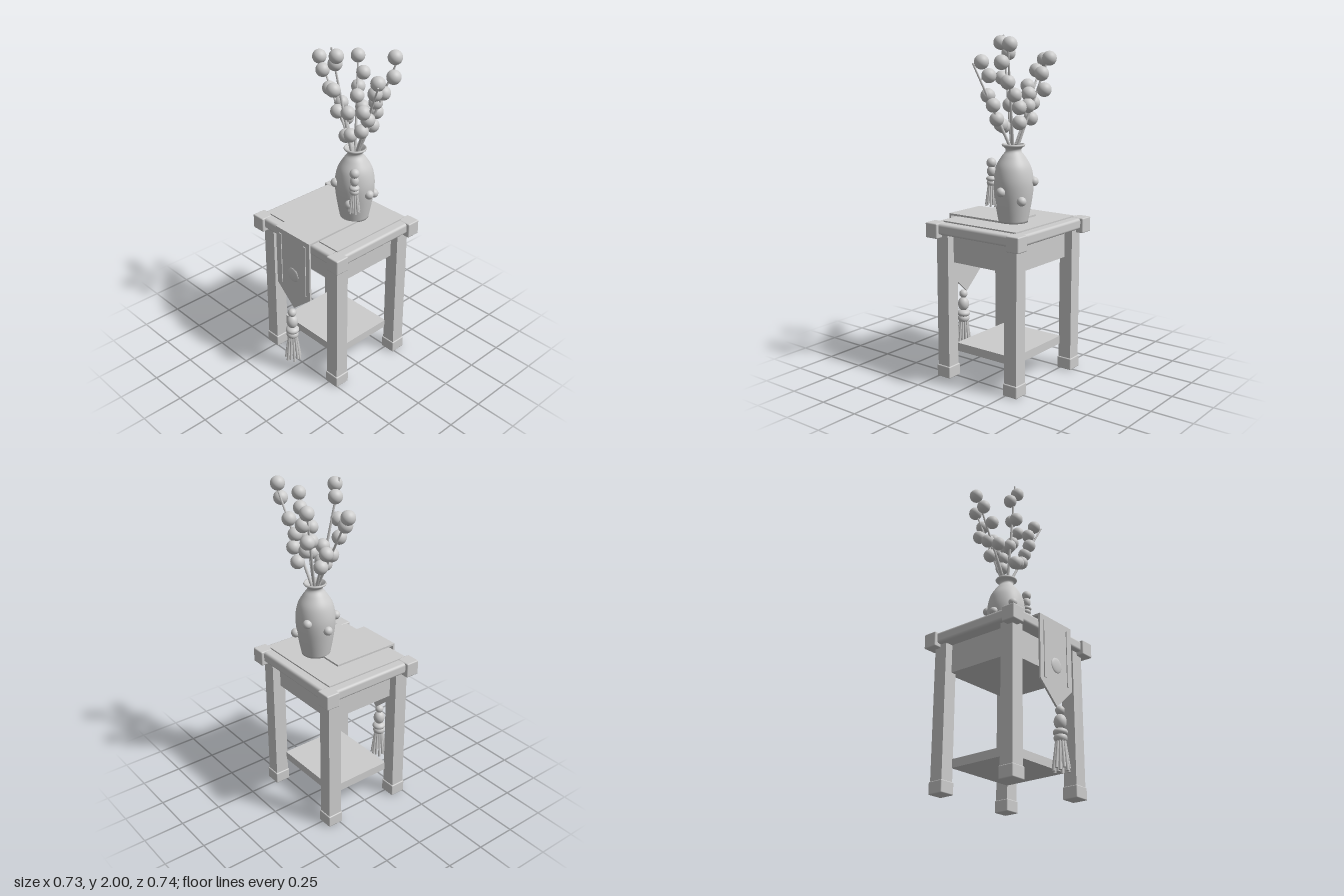
import * as THREE from 'three';
import { RoundedBoxGeometry } from 'three/addons/geometries/RoundedBoxGeometry.js';

const V = (x, y, z) => new THREE.Vector3(x, y, z);

export function createModel() {
  const grey = new THREE.MeshStandardMaterial({ color: 0xcccccc });
  grey.name = 'plain grey';
  const root = new THREE.Group();
  root.name = 'sideTableWithVase';

  const group = (name, parent = root) => {
    const g = new THREE.Group();
    g.name = name;
    parent.add(g);
    return g;
  };
  const add = (parent, name, geo, x = 0, y = 0, z = 0) => {
    const m = new THREE.Mesh(geo, grey);
    m.name = name;
    m.position.set(x, y, z);
    parent.add(m);
    return m;
  };
  const box = (w, h, d) => new THREE.BoxGeometry(w, h, d);
  const soft = (w, h, d, r) => new RoundedBoxGeometry(w, h, d, 2, r);
  const ball = (r) => new THREE.SphereGeometry(r, 28, 18);
  // Tapered rod between two points
  const rod = (parent, name, a, b, ra, rb) => {
    const d = b.clone().sub(a);
    const m = add(parent, name, new THREE.CylinderGeometry(rb, ra, d.length(), 8));
    m.position.copy(a).addScaledVector(d, 0.5);
    m.quaternion.setFromUnitVectors(V(0, 1, 0), d.normalize());
    return m;
  };

  // ---- Table ----
  const table = group('table');
  table.position.z = -0.036;
  for (const sx of [-1, 1]) for (const sz of [-1, 1]) {
    add(table, 'leg', box(0.084, 0.83, 0.084), sx * 0.274, 0.455, sz * 0.246);
    add(table, 'foot', soft(0.097, 0.072, 0.097, 0.006), sx * 0.274, 0.036, sz * 0.246);
    add(table, 'cornerBlock', soft(0.088, 0.09, 0.086, 0.007), sx * 0.319, 0.895, sz * 0.291);
  }
  add(table, 'topFrame', soft(0.69, 0.066, 0.634, 0.016), 0, 0.905, 0);
  add(table, 'topPanel', box(0.576, 0.012, 0.522), 0, 0.94, 0);
  add(table, 'apron', box(0.53, 0.17, 0.474), 0, 0.786, 0);
  add(table, 'shelf', box(0.475, 0.05, 0.42), 0, 0.176, 0);

  // ---- Cloth runner with pointed hanging end ----
  const runner = group('runner');
  add(runner, 'runnerTop', box(0.286, 0.012, 0.43), 0, 0.951, 0.09);
  const drop = new THREE.Shape();
  drop.moveTo(-0.143, 0.957);
  drop.lineTo(-0.143, 0.57);
  drop.lineTo(0, 0.445);
  drop.lineTo(0.143, 0.57);
  drop.lineTo(0.143, 0.957);
  add(runner, 'runnerDrop', new THREE.ExtrudeGeometry(drop, { depth: 0.012, bevelEnabled: false }), 0, 0, 0.293);
  for (const s of [-1, 1]) add(runner, 'runnerStripe', box(0.016, 0.34, 0.006), s * 0.104, 0.755, 0.307);
  add(runner, 'medallion', ball(0.045), 0, 0.685, 0.305).scale.z = 0.2;

  // ---- Tassels: local top at y = 0, full length 0.365 ----
  const tassel = (name, x, y, z, s, headR) => {
    const g = group(name);
    g.position.set(x, y, z);
    g.scale.setScalar(s);
    add(g, 'tasselBead', ball(headR), 0, -0.025, 0);
    add(g, 'tasselBody', ball(0.035), 0, -0.09, 0).scale.y = 1.25;
    add(g, 'tasselCollar', ball(0.041), 0, -0.15, 0).scale.y = 0.6;
    add(g, 'tasselSkirt', ball(0.037), 0, -0.182, 0).scale.y = 0.8;
    for (let i = 0; i < 12; i++) {
      const a = (i / 12) * Math.PI * 2, c = Math.cos(a), n = Math.sin(a);
      rod(g, 'tasselStrand', V(c * 0.022, -0.18, n * 0.022),
        V(c * 0.043, -0.35 - 0.014 * (i % 2), n * 0.043), 0.006, 0.0085);
    }
  };
  tassel('runnerTassel', 0, 0.445, 0.322, 1, 0.026);
  tassel('vaseTassel', 0.16, 1.31, -0.03, 0.73, 0.039);

  // ---- Vase ----
  const vase = group('vase');
  vase.position.set(0.073, 0, -0.12);
  const outer = new THREE.SplineCurve([
    [0.084, 0.95], [0.101, 1.04], [0.114, 1.13], [0.115, 1.2], [0.1, 1.27],
    [0.068, 1.325], [0.046, 1.355], [0.047, 1.372], [0.064, 1.386],
  ].map((p) => new THREE.Vector2(...p))).getPoints(40);
  const rim = [[0.067, 1.391], [0.064, 1.397], [0.058, 1.398], [0.04, 1.37], [0.038, 1.34], [0.06, 1.31], [0, 1.27]]
    .map((p) => new THREE.Vector2(...p));
  add(vase, 'vaseBody', new THREE.LatheGeometry([new THREE.Vector2(0, 0.95), ...outer, ...rim], 48)).material = grey;
  [1.135, 1.085, 1.185, 1.135, 1.185, 1.085].forEach((y, i) => {
    const a = (i * Math.PI) / 3;
    add(vase, 'vaseBead', ball(0.027), 0.117 * Math.cos(a), y, 0.117 * Math.sin(a));
  });

  // ---- Blossom branches: stem tip, then the blossoms along it ----
  const branches = [
    [[-0.215, 1.86, -0.115], [-0.222, 1.862, -0.118], [-0.174, 1.8, -0.098], [-0.106, 1.714, -0.086], [-0.042, 1.592, -0.088]],
    [[-0.06, 1.88, -0.265], [-0.063, 1.873, -0.267], [-0.006, 1.79, -0.255], [-0.04, 1.7, -0.25], [0.018, 1.677, -0.184], [0.045, 1.614, -0.2]],
    [[0.005, 2.0, 0.004], [0.038, 1.958, -0.002], [0, 1.9, -0.029], [0.02, 1.762, 0.003], [0.053, 1.614, -0.078], [0.07, 1.492, -0.047]],
    [[0.27, 1.94, -0.23], [0.253, 1.952, -0.23], [0.28, 1.857, -0.195], [0.215, 1.75, -0.188], [0.157, 1.677, -0.19], [0.143, 1.61, -0.212], [0.125, 1.525, -0.2]],
    [[0.322, 1.85, -0.032], [0.288, 1.857, -0.065], [0.25, 1.783, -0.085], [0.206, 1.672, -0.043], [0.206, 1.62, -0.08], [0.165, 1.54, -0.073], [0.1, 1.503, -0.052]],
    [[-0.065, 1.64, -0.15], [-0.073, 1.62, -0.149], [-0.037, 1.535, -0.16]],
  ];
  for (const [tip, ...blossoms] of branches) {
    const g = group('branch');
    const end = V(...tip);
    const out = V(end.x - 0.073, 0, end.z + 0.12).setLength(0.026);
    const mouth = V(0.073 + out.x, 1.39, -0.12 + out.z);
    rod(g, 'stemBase', V(0.073, 1.28, -0.12), mouth, 0.008, 0.008);
    rod(g, 'stem', mouth, end, 0.009, 0.005);
    const line = new THREE.Line3(mouth, end);
    for (const b of blossoms) {
      const p = V(...b);
      const near = line.closestPointToPoint(p, true, V(0, 0, 0));
      add(g, 'blossom', ball(0.041), p.x, p.y, p.z);
      if (near.distanceTo(p) > 0.02) rod(g, 'twig', near, p, 0.004, 0.004);
    }
  }
  return root;
}
